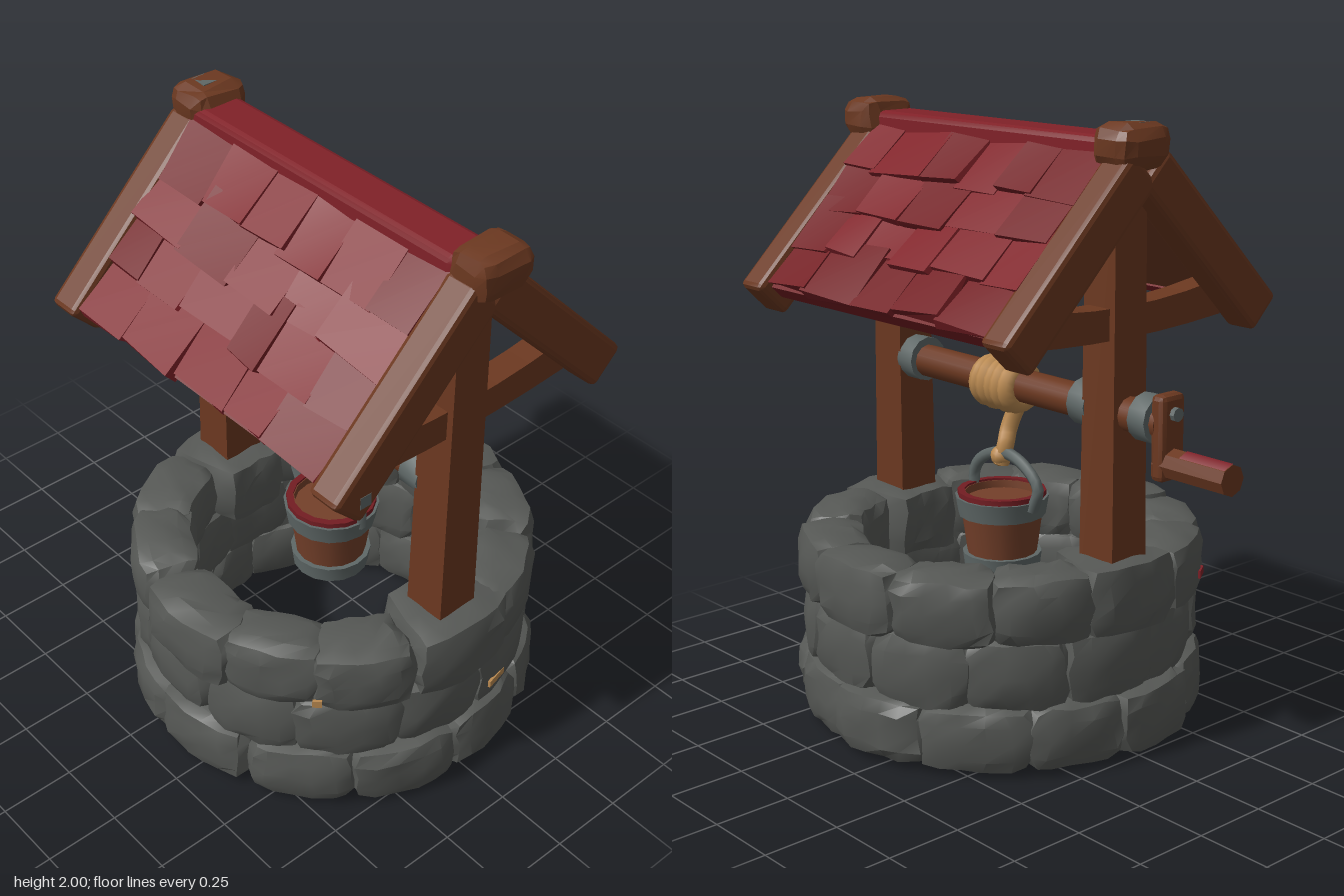
import * as THREE from 'three';
import { toCreasedNormals } from 'three/addons/utils/BufferGeometryUtils.js';
import { RoundedBoxGeometry } from 'three/addons/geometries/RoundedBoxGeometry.js';

const material = (name, color, side = THREE.FrontSide) =>
  Object.assign(new THREE.MeshStandardMaterial({ color, side }), { name });

export function createModel() {
  const stone = material('stone', 0x565855);
  const metal = material('metal', 0x5f6867);
  const wood = material('wood', 0x6b3820);
  const red = material('shingleRed', 0x802128);
  const darkRed = material('shingleDarkRed', 0x731d22);
  const rope = material('rope', 0xb98950);
  const bucketWood = material('bucketWood', 0x74402a, THREE.DoubleSide);

  const model = new THREE.Group();
  model.name = 'well';
  let seed = 7;
  const rnd = () => (seed = (seed * 16807) % 2147483647) / 2147483647;
  const vary = (amount) => (rnd() - 0.5) * 2 * amount;

  const add = (parent, name, geometry, mat, x = 0, y = 0, z = 0) => {
    const mesh = new THREE.Mesh(geometry, mat);
    mesh.name = name;
    mesh.position.set(x, y, z);
    parent.add(mesh);
    return mesh;
  };
  const group = (name, parent = model) => {
    const g = new THREE.Group();
    g.name = name;
    parent.add(g);
    return g;
  };
  // Moves each vertex a little, equally for vertices that share a position
  const roughen = (geometry, amount) => {
    const p = geometry.attributes.position, k = rnd() * 50;
    const noise = (x, y, z, i) => {
      const s = Math.sin(Math.round(x * 999) * 1.27 + Math.round(y * 999) * 3.11 + Math.round(z * 999) * 7.47 + i * 17.3 + k) * 4375.85;
      return (s - Math.floor(s) - 0.5) * 2 * amount;
    };
    for (let i = 0; i < p.count; i++) {
      const x = p.getX(i), y = p.getY(i), z = p.getZ(i);
      p.setXYZ(i, x + noise(x, y, z, 0), y + noise(x, y, z, 1), z + noise(x, y, z, 2));
    }
    return geometry;
  };
  // Chamfered timber from a to b
  const beam = (parent, name, a, b, w, d) => {
    const from = new THREE.Vector3(...a), to = new THREE.Vector3(...b);
    const dir = to.clone().sub(from);
    const geometry = toCreasedNormals(new RoundedBoxGeometry(w, dir.length(), d, 1, 0.018), 0.3);
    const mesh = add(parent, name, geometry, wood);
    mesh.position.copy(from.add(to).multiplyScalar(0.5));
    mesh.quaternion.setFromUnitVectors(new THREE.Vector3(0, 1, 0), dir.normalize());
  };
  // Cylinder lying along x
  const rod = (parent, name, x0, x1, r, y, mat, sides = 12) => {
    const geometry = toCreasedNormals(new THREE.CylinderGeometry(r, r, x1 - x0, sides), 0.7);
    add(parent, name, geometry.rotateZ(Math.PI / 2), mat, (x0 + x1) / 2, y, 0);
  };

  // Stone wall: an open ring with three courses of puffy blocks bent around it
  const wall = group('stoneWall');
  wall.position.x = 0.16;
  const profile = [[0.48, 0.05], [0.6, 0.05], [0.6, 0.6], [0.48, 0.6], [0.48, 0.05]];
  const core = new THREE.LatheGeometry(profile.map(([x, y]) => new THREE.Vector2(x, y)), 32);
  add(wall, 'wallCore', toCreasedNormals(core, 0.5), stone);

  const block = (a, halfA, r0, r1, y0, y1, power) => {
    const geometry = new THREE.BoxGeometry(2, 2, 2, 5, 4, 4);
    const p = geometry.attributes.position;
    for (let i = 0; i < p.count; i++) {
      const v = [p.getX(i), p.getY(i), p.getZ(i)];
      const s = v.reduce((t, c) => t + Math.abs(c) ** power, 0) ** (-1 / power);
      p.setXYZ(i, v[0] * s, v[1] * s, v[2] * s);
    }
    roughen(geometry, 0.06);
    for (let i = 0; i < p.count; i++) {
      const angle = a + p.getX(i) * halfA;
      const r = (r0 + r1) / 2 + p.getZ(i) * (r1 - r0) / 2;
      const y = (y0 + y1) / 2 + p.getY(i) * (y1 - y0) / 2;
      p.setXYZ(i, r * Math.sin(angle), Math.max(0, y), r * Math.cos(angle));
    }
    return toCreasedNormals(geometry, 0.6);
  };
  const courses = [
    [0.012, 0.235, 0.682, 0.3], [0.2, 0.455, 0.655, 0.75], [0.42, 0.652, 0.675, 0],
  ];
  courses.forEach(([y0, y1, radius, offset], row) => {
    for (let i = 0; i < 12; i++) {
      const underPost = row === 2 && i % 6 === 3;
      const a = (i + offset) * Math.PI / 6 + (underPost ? 0 : vary(0.05));
      const inner = underPost ? 0.38 : 0.45;
      add(wall, 'stoneBlock', block(a, 0.295 + vary(0.02), inner, radius + vary(0.012), y0, y1, underPost ? 8 : 4.6), stone);
    }
  });
  // Small flecks of paint on the stones: angle, height, radius, width, colour
  [[1.8, 0.3, 0.655, 0.085, rope], [-0.98, 0.505, 0.676, 0.06, red], [0.78, 0.48, 0.676, 0.03, rope]].forEach(([a, y, r, w, mat]) => {
    const fleck = new THREE.BoxGeometry(w, 0.026, 0.009);
    add(wall, 'paintFleck', fleck, mat, r * Math.sin(a), y, r * Math.cos(a)).rotation.y = a;
  });

  // Two end frames: post, rafters, tie beam and ridge cap
  [['right', -0.37, -0.46, -0.447], ['left', 0.67, 0.745, 0.76]].forEach(([side, postX, rafterX, capX]) => {
    const frame = group(side + 'Frame');
    const post = new THREE.CylinderGeometry(0.09, 0.105, 1.36, 4, 1).rotateY(Math.PI / 4);
    add(frame, 'post', toCreasedNormals(post, 0.3), wood, postX, 1.18, 0);
    for (const s of [-1, 1]) {
      beam(frame, 'rafter', [rafterX, 1.87, 0.02 * s], [rafterX, 1.365, 0.525 * s], 0.115, 0.145);
    }
    const tie = new THREE.Shape();
    tie.moveTo(-0.42, 1.365);
    tie.quadraticCurveTo(0, 1.325, 0.42, 1.365);
    tie.lineTo(0.4, 1.475);
    tie.quadraticCurveTo(0, 1.41, -0.4, 1.475);
    const tieGeometry = new THREE.ExtrudeGeometry(tie, { depth: 0.09, bevelEnabled: false, curveSegments: 6 });
    tieGeometry.translate(0, 0, -0.045).rotateY(Math.PI / 2);
    add(frame, 'tieBeam', tieGeometry, wood, postX, 0, 0);

    const cap = roughen(new RoundedBoxGeometry(0.16, 0.14, 0.205, 1, 0.045), 0.005);
    add(frame, 'ridgeCap', toCreasedNormals(cap, 0.3), wood, capX, 1.927, -0.018);
  });
  add(model, 'rafterFleck', new THREE.BoxGeometry(0.008, 0.04, 0.04), metal, 0.8, 1.39, 0.46);
  add(model, 'capFleck', new THREE.BoxGeometry(0.06, 0.008, 0.05), metal, -0.46, 1.996, -0.01);

  // Roof: a brown deck under four uneven rows of shingles on each slope
  const roof = group('roof');
  roof.position.set(0.14, 1.935, 0);
  for (const turn of [0, Math.PI]) {
    const half = group(turn ? 'backSlope' : 'frontSlope', roof);
    half.rotation.y = turn;
    const slope = group('slope', half);
    slope.rotation.x = 0.81;
    add(slope, 'roofDeck', new THREE.BoxGeometry(1.13, 0.03, 0.69), wood, 0, -0.01, 0.365);
    // Red edge closing the eave below the last row
    add(slope, 'eaveEdge', new THREE.BoxGeometry(1.1, 0.055, 0.03), darkRed, 0, -0.005, 0.725);
    for (let row = 0; row < 4; row++) {
      const count = row % 2 ? 5 : 6;
      let x = -0.555;
      for (let i = 0; i < count; i++) {
        const end = i === count - 1 ? 0.555 : -0.555 + 1.11 * (i + 1) / count + vary(0.035);
        const length = 0.21 + vary(0.012);
        const geometry = roughen(new THREE.BoxGeometry(end - x + 0.008, 0.035, length), 0.01);
        const tile = add(slope, 'shingle', toCreasedNormals(geometry, 0.2), rnd() < 0.55 ? red : darkRed,
          (x + end) / 2, 0.025 + vary(0.004), 0.055 + row * 0.156 + length / 2);
        tile.rotation.set(-0.07 + vary(0.02), vary(0.02), vary(0.025));
        x = end;
      }
    }
  }
  const ridge = new RoundedBoxGeometry(1.13, 0.085, 0.155, 1, 0.02);
  add(roof, 'ridgeBoard', toCreasedNormals(ridge, 0.3), red, 0, -0.022, 0);

  // Winch: axle, metal collars and crank
  const winch = group('winch');
  rod(winch, 'axle', -0.59, 0.62, 0.055, 1.115, wood);
  for (const [x0, x1] of [[-0.57, -0.5], [-0.31, -0.235], [0.535, 0.61]]) {
    rod(winch, 'collar', x0, x1, 0.076, 1.12, metal);
  }
  rod(winch, 'axleTip', -0.642, -0.6, 0.022, 1.15, metal, 8);
  beam(winch, 'crankArm', [-0.598, 0.94, 0], [-0.598, 1.21, 0], 0.055, 0.1);
  rod(winch, 'crankHandle', -0.86, -0.58, 0.049, 0.995, wood, 8);
  const paint = new THREE.CylinderGeometry(0.052, 0.052, 0.18, 2, 1, true, Math.PI / 4, Math.PI / 2);
  add(winch, 'handlePaint', paint.rotateZ(Math.PI / 2), red, -0.77, 0.995, 0);

  // Rope wound on the axle, hanging down to a knot
  const ropes = group('rope');
  for (let i = 0; i < 5; i++) {
    const coil = new THREE.TorusGeometry(0.056 + (i % 2) * 0.003, 0.034, 8, 18).rotateY(Math.PI / 2);
    add(ropes, 'ropeCoil', coil, rope, 0.067 + i * 0.034, 1.108, 0).rotation.z = vary(0.12);
  }
  const path = (...points) => new THREE.CatmullRomCurve3(points.map((p) => new THREE.Vector3(...p)));
  const hanging = path([0.1, 1.07, 0.06], [0.14, 1.01, 0.05], [0.155, 0.94, 0.03], [0.145, 0.9, 0.01], [0.16, 0.83, 0]);
  add(ropes, 'hangingRope', new THREE.TubeGeometry(hanging, 16, 0.029, 8), rope);
  add(ropes, 'knot', new THREE.SphereGeometry(0.035, 10, 8), rope, 0.16, 0.855, 0);

  // Bucket with two metal bands and an arched handle
  const bucket = group('bucket');
  bucket.position.x = 0.155;
  const lathe = (points) => toCreasedNormals(new THREE.LatheGeometry(points.map(([x, y]) => new THREE.Vector2(x, y)), 16), 0.6);
  add(bucket, 'bucketBody', lathe([[0, 0.48], [0.11, 0.48], [0.145, 0.735], [0.122, 0.735], [0.12, 0.71], [0, 0.71]]), bucketWood);
  add(bucket, 'topBand', lathe([[0.13, 0.66], [0.146, 0.66], [0.157, 0.725], [0.14, 0.725]]), metal);
  add(bucket, 'bottomBand', lathe([[0.1, 0.475], [0.126, 0.475], [0.133, 0.53], [0.11, 0.53]]), metal);
  add(bucket, 'bucketRim', lathe([[0.142, 0.724], [0.148, 0.724], [0.148, 0.742], [0.125, 0.742], [0.125, 0.732]]), darkRed);
  const arch = path([-0.15, 0.7, 0], [-0.178, 0.78, 0], [-0.1, 0.85, 0], [0, 0.87, 0], [0.1, 0.83, 0], [0.138, 0.78, 0], [0.14, 0.7, 0]);
  add(bucket, 'bucketHandle', new THREE.TubeGeometry(arch, 20, 0.02, 6), metal);

  return model;
}
